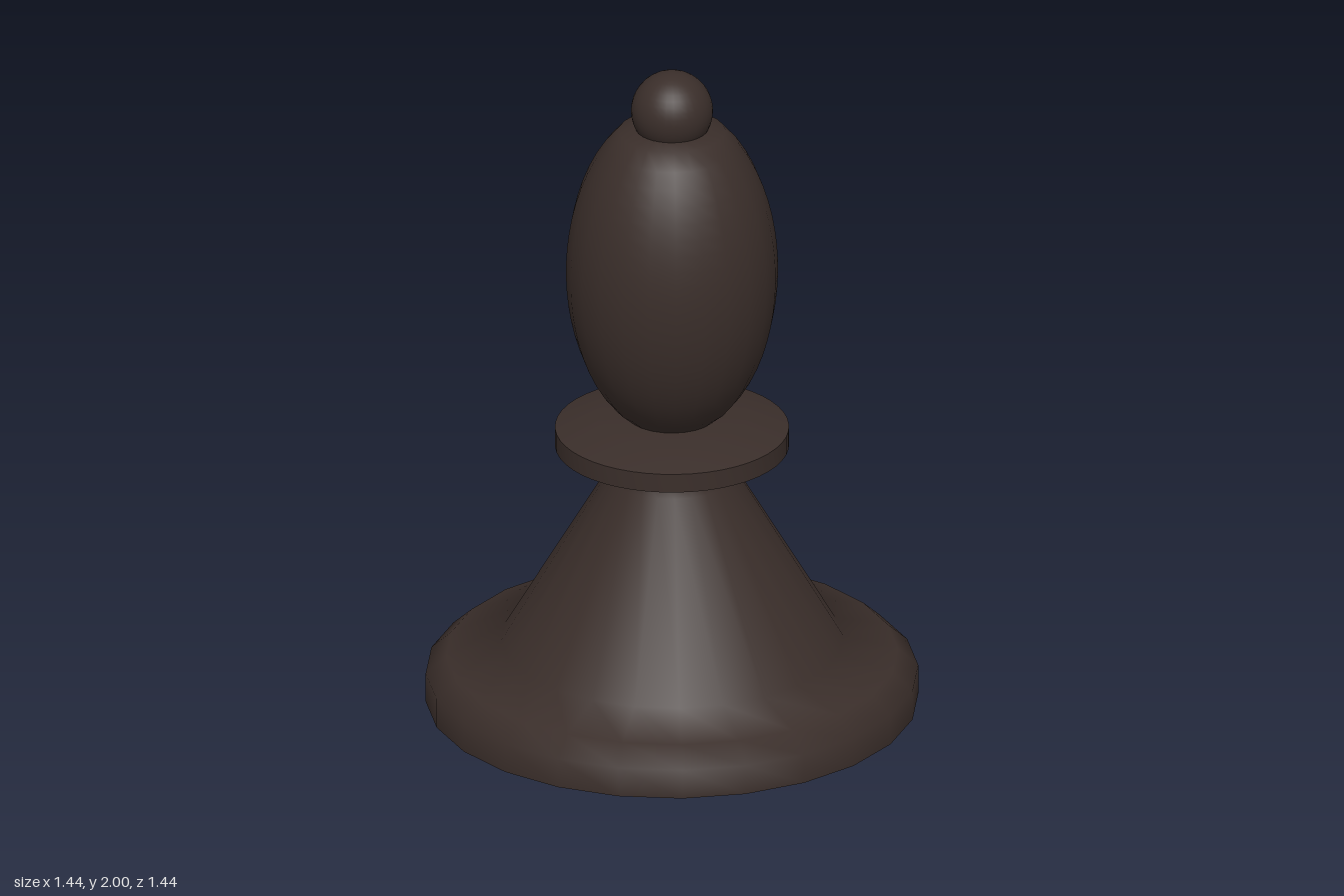
import * as THREE from 'three';
import { toCreasedNormals } from 'three/addons/utils/BufferGeometryUtils.js';

const material = new THREE.MeshStandardMaterial({ color: 0x3a2e2a });

// Turn a profile of [radius, height] points, listed from bottom to top
function turned(name, profile, segments, crease) {
  const points = profile.map(([r, y]) => new THREE.Vector2(r, y));
  let geometry = new THREE.LatheGeometry(points, segments);
  if (crease) geometry = toCreasedNormals(geometry, crease);
  const mesh = new THREE.Mesh(geometry, material);
  mesh.name = name;
  return mesh;
}

export function createModel() {
  const group = new THREE.Group();
  group.name = 'chessBishop';

  // Flat underside
  group.add(turned('underside', [[0, 0], [0.72, 0]], 24));

  // Wide foot sweeping into the conical stem
  group.add(turned('footAndStem', [
    [0.72, 0], [0.72, 0.09], [0.66, 0.145], [0.5, 0.19], [0.19, 0.72], [0.2, 0.79],
  ], 24));

  // Bevelled collar
  group.add(turned('collar', [
    [0, 0.78], [0.2, 0.78], [0.342, 0.81], [0.342, 0.868], [0.22, 0.905], [0, 0.905],
  ], 48, 0.3));

  // Egg-shaped head, cut by the collar below and a small shoulder above
  const head = [];
  const centre = 1.37, halfHeight = 0.515, radius = 0.31;
  for (let i = 0; i <= 20; i++) {
    const y = THREE.MathUtils.lerp(0.89, 1.815, i / 20);
    head.push([radius * Math.sqrt(1 - ((y - centre) / halfHeight) ** 2), y]);
  }
  head.push([0.1, 1.825], [0, 1.825]);
  group.add(turned('head', head, 24));

  // Finial ball
  const ball = new THREE.Mesh(new THREE.SphereGeometry(0.12, 32, 20), material);
  ball.name = 'finial';
  ball.position.y = 1.88;
  group.add(ball);

  return group;
}
